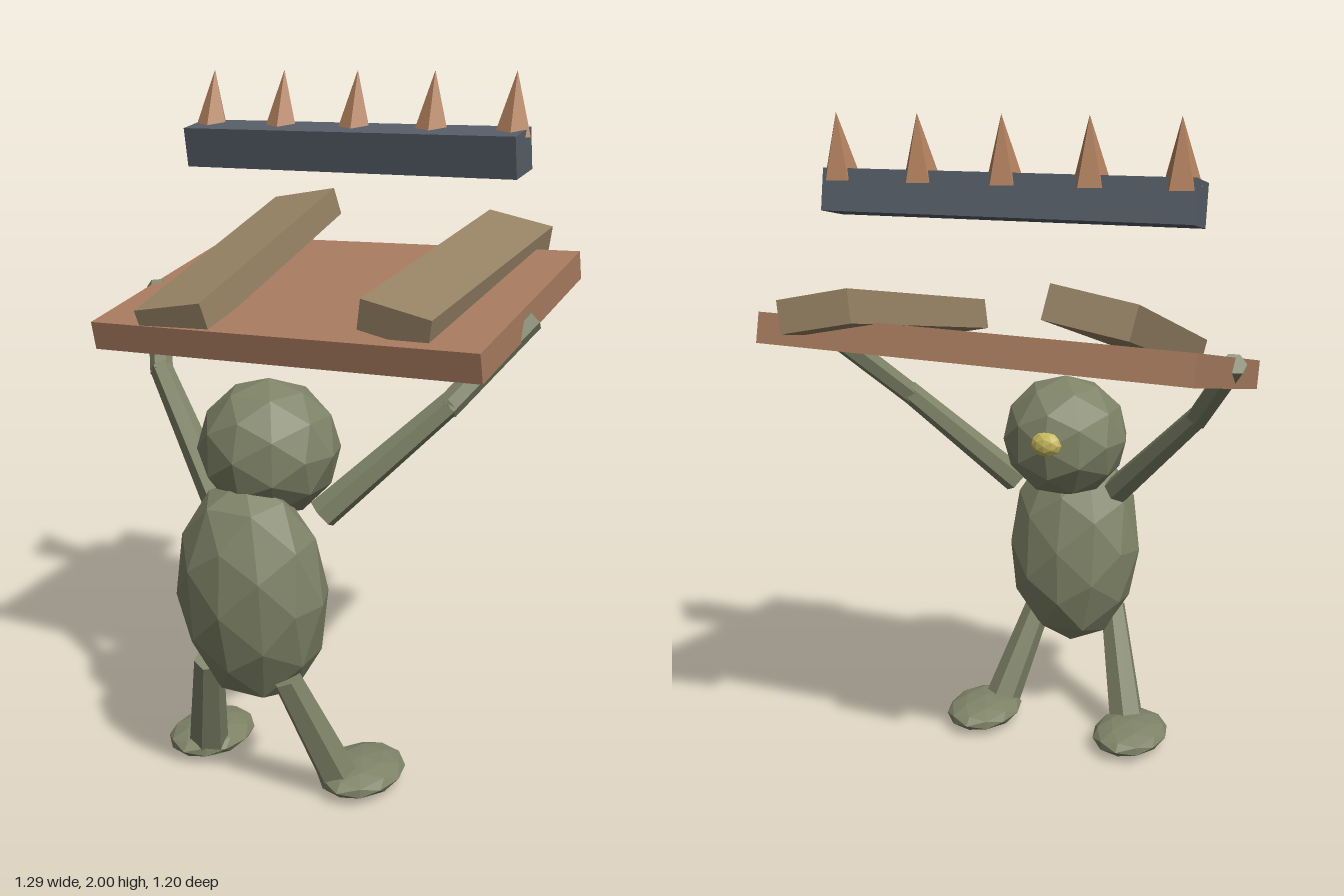
import * as THREE from 'three';

const mat = (color) => new THREE.MeshStandardMaterial({ color, flatShading: true });

export function createModel() {
  const model = new THREE.Group();
  const skin = mat(0x7f8468), deckWood = mat(0xa87c5f), plankWood = mat(0x968264);
  const iron = mat(0x565e67), spikeWood = mat(0xb5835f), eyeYellow = mat(0xc8b85c);

  const add = (name, geometry, material, pos, rot = [0, 0, 0]) => {
    const mesh = new THREE.Mesh(geometry, material);
    mesh.name = name;
    mesh.position.set(...pos);
    mesh.rotation.set(...rot);
    model.add(mesh);
    return mesh;
  };

  // Faceted ellipsoid
  const blob = (name, radii, material, pos, rot) =>
    add(name, new THREE.IcosahedronGeometry(1, 1).scale(...radii), material, pos, rot);

  // Tapered limb running from a to b
  const limb = (name, a, b, ra, rb) => {
    const from = new THREE.Vector3(...a), to = new THREE.Vector3(...b);
    const dir = to.clone().sub(from);
    const mesh = add(name, new THREE.CylinderGeometry(rb, ra, dir.length(), 6), skin,
      from.clone().add(to).multiplyScalar(0.5).toArray());
    mesh.quaternion.setFromUnitVectors(new THREE.Vector3(0, 1, 0), dir.normalize());
  };

  // Creature, facing the back
  blob('body', [0.222, 0.335, 0.178], skin, [0, 0.605, 0.425], [0.1, 0, 0]);
  blob('head', [0.2, 0.195, 0.195], skin, [0, 0.995, 0.325]);
  blob('eye', [0.05, 0.04, 0.03], eyeYellow, [0, 1.01, 0.15]);

  // Limbs, mirrored
  for (const [side, s] of [['left', 1], ['right', -1]]) {
    limb(side + 'Leg', [s * 0.125, 0.39, 0.46], [s * 0.22, 0.05, 0.325], 0.042, 0.058);
    blob(side + 'Foot', [0.118, 0.043, 0.158], skin, [s * 0.255, 0.043, 0.252]);
    limb(side + 'UpperArm', [s * 0.17, 0.83, 0.335], [s * 0.47, 1.14, 0.16], 0.045, 0.034);
    limb(side + 'Forearm', [s * 0.46, 1.125, 0.17], [s * 0.615, 1.345, -0.045], 0.034, 0.034);
  }

  // Raised platform with two planks laid on it
  add('platform', new THREE.BoxGeometry(1.22, 0.085, 0.79), deckWood, [-0.002, 1.342, -0.09], [0.213, 0, 0.022]);
  add('rightPlank', new THREE.BoxGeometry(0.225, 0.09, 0.925), plankWood, [-0.355, 1.435, -0.145], [0.27, 0.05, 0.165]);
  add('leftPlank', new THREE.BoxGeometry(0.21, 0.09, 0.87), plankWood, [0.36, 1.435, -0.155], [0.18, -0.025, -0.2]);

  // Floating bar with a row of spikes
  add('bar', new THREE.BoxGeometry(1.068, 0.118, 0.122), iron, [-0.002, 1.78, -0.163], [0.18, 0, 0]);
  for (let i = -2; i <= 2; i++) {
    add('spike', new THREE.ConeGeometry(0.054, 0.18, 5), spikeWood, [i * 0.245, 1.91, -0.195], [-0.1, 0.2, 0]);
  }

  return model;
}
